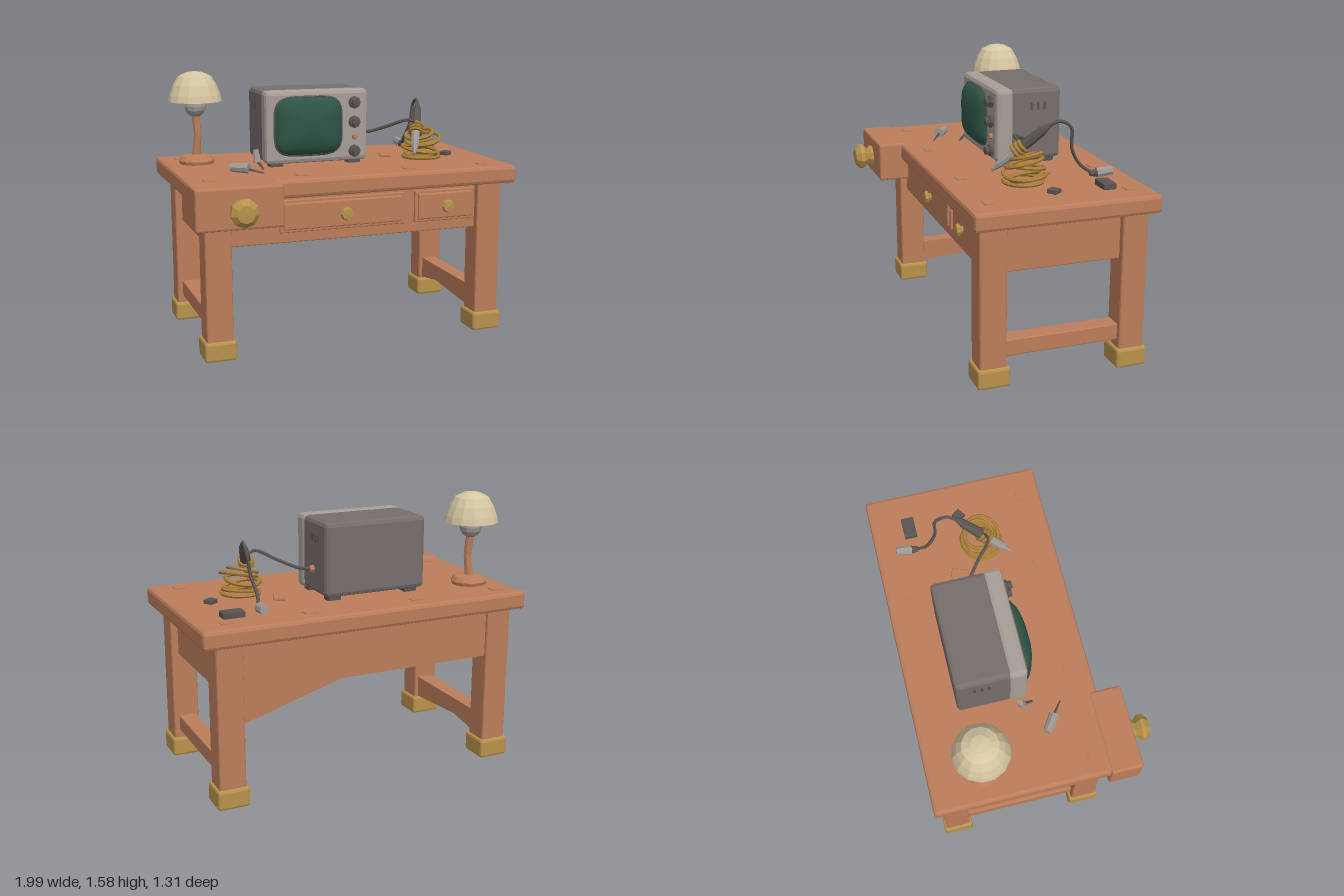
import * as THREE from 'three';
import { RoundedBoxGeometry } from 'three/addons/geometries/RoundedBoxGeometry.js';

export function createModel() {
  const root = new THREE.Group();
  const mat = (name, color, extra = {}) => {
    const m = new THREE.MeshStandardMaterial({ color, flatShading: true, ...extra });
    m.name = name;
    return m;
  };
  const wood = mat('wood', 0xbc7d5b);
  const brass = mat('brass', 0xb8924c);
  const rope = mat('rope', 0xa87d38);
  const casing = mat('casing grey', 0x776e6c);
  const bezelGrey = mat('bezel grey', 0xa89e97);
  const glass = mat('screen green', 0x2e5546, { flatShading: false });
  const cream = mat('lampshade cream', 0xd6c6a2);
  const metal = mat('metal grey', 0x9c9794);
  const dark = mat('dark grey', 0x595452);

  const V = (x, y, z) => new THREE.Vector3(x, y, z);
  const add = (name, geo, m, x = 0, y = 0, z = 0) => {
    const mesh = new THREE.Mesh(geo, m);
    mesh.name = name;
    mesh.position.set(x, y, z);
    root.add(mesh);
    return mesh;
  };
  // bevelled box given by its extents on each axis
  const box = (name, m, [x0, x1], [y0, y1], [z0, z1], r = 0.012) => add(name,
    new RoundedBoxGeometry(x1 - x0, y1 - y0, z1 - z0, 1, r), m,
    (x0 + x1) / 2, (y0 + y1) / 2, (z0 + z1) / 2);
  // tapered rod between two points
  const rod = (name, m, a, b, ra, rb = ra, sides = 8) => {
    const d = b.clone().sub(a);
    const mesh = add(name, new THREE.CylinderGeometry(rb, ra, d.length(), sides), m);
    mesh.position.copy(a).addScaledVector(d, 0.5);
    mesh.quaternion.setFromUnitVectors(V(0, 1, 0), d.normalize());
    return mesh;
  };
  const tube = (name, m, pts, r) => add(name,
    new THREE.TubeGeometry(new THREE.CatmullRomCurve3(pts.map(p => V(...p))), 28, r, 6), m);
  // turned knob whose axis points to the front
  const turned = (name, m, profile, sides, x, y, z) => {
    const geo = new THREE.LatheGeometry(profile.map(p => new THREE.Vector2(...p)), sides);
    return add(name, geo.rotateX(Math.PI / 2), m, x, y, z);
  };
  const plate = (pts, depth) => new THREE.ExtrudeGeometry(
    new THREE.Shape(pts.map(p => new THREE.Vector2(...p))), { depth, bevelEnabled: false });

  // desk top, clamp block and peg marks
  box('deskTop', wood, [-0.99, 0.99], [0.92, 1.025], [-0.655, 0.405], 0.02);
  box('clampBlock', wood, [-1, -0.51], [0.795, 1.03], [0.36, 0.545], 0.012);
  for (const x of [-0.86, -0.32, 0.34, 0.82])
    for (const z of [-0.53, 0.28])
      add('joineryPeg', new THREE.BoxGeometry(0.07, 0.006, 0.05), wood, x, 1.026, z);
  turned('clampKnob', brass, [[0, 0], [0.065, 0], [0.065, 0.02], [0.05, 0.035], [0.08, 0.065],
    [0.08, 0.085], [0.05, 0.115], [0, 0.118]], 9, -0.75, 0.903, 0.54);

  // legs with brass feet
  for (const x of [-0.835, 0.835])
    for (const [z0, z1] of [[0.2, 0.355], [-0.615, -0.465]]) {
      box('leg', wood, [x - 0.077, x + 0.077], [0.08, 0.94], [z0, z1]);
      box('foot', brass, [x - 0.092, x + 0.092], [0, 0.115], [z0 - 0.015, z1 + 0.015], 0.015);
    }

  // side stretchers, arched on the inner half
  const arch = plate([[-0.21, 0.12], [0.25, 0.155], [0.475, 0.12], [0.475, 0.255], [-0.21, 0.255]], 0.04);
  arch.rotateY(Math.PI / 2);
  for (const s of [-1, 1]) {
    box('stretcher', wood, [s * 0.84 - 0.04, s * 0.84 + 0.04], [0.16, 0.255], [-0.48, 0.22], 0.006);
    add('stretcherArch', arch, wood, s * 0.8 - 0.02, 0, 0);
  }

  // apron body with a sloping rear board
  box('apron', wood, [-0.87, 0.87], [0.645, 0.93], [-0.58, 0.31], 0.006);
  add('rearApron', plate([[-0.8, 0.645], [0.18, 0.645], [0.8, 0.458], [0.8, 0.92], [-0.8, 0.92]], 0.04),
    wood, 0, 0, -0.595);

  // drawers
  for (const [x0, x1, kx] of [[-0.47, 0.295, -0.08], [0.36, 0.755, 0.56]]) {
    box('drawerFrame', wood, [x0, x1], [0.705, 0.895], [0.29, 0.325], 0.006);
    box('drawerFront', wood, [x0 + 0.02, x1 - 0.02], [0.722, 0.878], [0.31, 0.338], 0.008);
    turned('drawerKnob', brass, [[0, 0], [0.025, 0], [0.022, 0.012], [0.04, 0.024], [0.034, 0.04],
      [0, 0.044]], 8, kx, 0.798, 0.335);
  }

  // monitor casing
  box('monitorBody', casing, [-0.452, 0.178], [1.05, 1.475], [-0.395, -0.07], 0.025);
  box('monitorBezel', bezelGrey, [-0.457, 0.183], [1.045, 1.477], [-0.1, 0.008], 0.025);
  for (const x of [-0.38, 0.11])
    for (const z of [-0.33, -0.06])
      add('monitorFoot', new THREE.BoxGeometry(0.08, 0.04, 0.06), dark, x, 1.04, z);
  for (const z of [-0.21, -0.25, -0.29]) {
    add('vent', new THREE.BoxGeometry(0.006, 0.045, 0.016), dark, 0.178, 1.37, z);
    add('vent', new THREE.BoxGeometry(0.006, 0.045, 0.016), dark, -0.452, 1.37, z);
  }

  // bulging screen: a hemisphere squared off into a rounded rectangle
  const dome = new THREE.SphereGeometry(1, 40, 12, 0, Math.PI * 2, 0, Math.PI / 2).rotateX(Math.PI / 2);
  const p = dome.attributes.position;
  const square = v => Math.sign(v) * Math.pow(Math.abs(v), 0.45);
  for (let i = 0; i < p.count; i++) {
    const x = p.getX(i), y = p.getY(i), r = Math.hypot(x, y) || 1;
    p.setXYZ(i, square(x / r) * r * 0.208, square(y / r) * r * 0.172, p.getZ(i) * 0.075);
  }
  dome.computeVertexNormals();
  add('screen', dome, glass, -0.195, 1.267, 0.004);
  const rim = [];
  for (let i = 0; i < 40; i++) {
    const a = i / 40 * Math.PI * 2;
    rim.push(V(square(Math.cos(a)) * 0.208, square(Math.sin(a)) * 0.172, 0));
  }
  add('screenRim', new THREE.TubeGeometry(new THREE.CatmullRomCurve3(rim, true), 60, 0.008, 5, true),
    dark, -0.195, 1.267, 0.008);

  // control knobs and side socket
  for (const y of [1.397, 1.28, 1.105])
    turned('controlKnob', dark, [[0, 0], [0.038, 0], [0.036, 0.018], [0.026, 0.022], [0.024, 0.045],
      [0, 0.047]], 8, 0.095, y, 0.006);
  turned('smallKnob', wood, [[0, 0], [0.018, 0], [0.015, 0.02], [0, 0.022]], 6, 0.098, 1.19, 0.006);
  rod('cableSocket', wood, V(0.175, 1.185, -0.215), V(0.2, 1.185, -0.215), 0.026, 0.018, 6);

  // lamp
  const lathe = (name, m, pts, sides, y = 0) => add(name,
    new THREE.LatheGeometry(pts.map(q => new THREE.Vector2(...q)), sides), m, -0.797, y, -0.335);
  lathe('lampBase', wood, [[0, 1.02], [0.1, 1.02], [0.108, 1.045], [0.09, 1.072], [0.04, 1.08], [0, 1.08]], 14);
  rod('lampStemLower', wood, V(-0.8, 1.06, -0.335), V(-0.788, 1.2, -0.325), 0.026, 0.022);
  rod('lampStemUpper', wood, V(-0.788, 1.19, -0.325), V(-0.797, 1.34, -0.335), 0.022, 0.024);
  add('lampBulb', new THREE.SphereGeometry(0.066, 10, 8), metal, -0.797, 1.372, -0.335);
  lathe('lampShade', cream, [[0, 1.415], [0.145, 1.41], [0.16, 1.402], [0.152, 1.44], [0.13, 1.5],
    [0.1, 1.55], [0.05, 1.575], [0, 1.582]], 14);

  // coil of rope
  [[0.112, 1.045, 0, 0], [0.1, 1.065, 0.12, 0.1], [0.11, 1.09, 0.1, -0.14], [0.098, 1.12, -0.12, 0.12],
    [0.105, 1.15, 0.2, 0.2], [0.085, 1.18, 0.15, 0.25]].forEach(([r, y, tx, tz], i) => {
    const ring = add('ropeCoil', new THREE.TorusGeometry(r, 0.011, 6, 22).rotateX(Math.PI / 2), rope,
      0.55 + 0.012 * Math.sin(i * 2), y, -0.03 + 0.012 * Math.cos(i * 3));
    ring.rotation.set(tx, 0, tz);
  });

  // probe leaning over the coil, tied with rope
  const tip = V(0.44, 1.085, 0.13), top = V(0.585, 1.355, -0.16);
  const at = t => tip.clone().lerp(top, t);
  rod('probeTip', metal, tip, at(0.15), 0.008, 0.022);
  rod('probeHandle', metal, at(0.15), at(0.5), 0.024, 0.028);
  rod('probeGrip', dark, at(0.45), at(0.88), 0.034, 0.026);
  rod('probeCap', dark, at(0.88), top, 0.024, 0.012);
  for (const t of [0.42, 0.48, 0.54]) {
    const wrap = add('probeBinding', new THREE.TorusGeometry(0.036, 0.011, 6, 12), rope);
    wrap.position.copy(at(t));
    wrap.quaternion.setFromUnitVectors(V(0, 0, 1), top.clone().sub(tip).normalize());
  }

  // cables and plug
  tube('monitorCable', dark, [[0.19, 1.185, -0.215], [0.25, 1.19, -0.17], [0.35, 1.23, -0.09],
    [0.45, 1.275, 0], [0.52, 1.25, -0.02]], 0.01);
  tube('probeCable', dark, [[0.583, 1.35, -0.155], [0.6, 1.375, -0.21], [0.605, 1.34, -0.275],
    [0.59, 1.21, -0.29], [0.575, 1.11, -0.35], [0.595, 1.06, -0.42]], 0.01);
  rod('plugCollar', dark, V(0.593, 1.06, -0.4), V(0.597, 1.062, -0.44), 0.016, 0.024);
  rod('plug', metal, V(0.597, 1.062, -0.44), V(0.605, 1.07, -0.53), 0.03, 0.026);

  // loose parts on the desk
  const loose = (name, m, x, z, w, h, d, turn) => {
    add(name, new RoundedBoxGeometry(w, h, d, 1, 0.004), m, x, 1.024 + h / 2, z).rotation.y = turn;
  };
  loose('smallBox', dark, 0.75, -0.425, 0.125, 0.035, 0.075, 0);
  loose('chip', dark, 0.765, -0.115, 0.06, 0.025, 0.055, 0.6);
  loose('woodTag', wood, 0.38, -0.195, 0.07, 0.02, 0.1, -0.35);
  rod('looseValve', metal, V(-0.685, 1.056, 0.065), V(-0.595, 1.056, 0.13), 0.024, 0.03);
  rod('looseValvePin', dark, V(-0.595, 1.05, 0.13), V(-0.52, 1.032, 0.185), 0.008, 0.004, 5);
  rod('standingValve', metal, V(-0.5, 1.06, -0.03), V(-0.505, 1.135, -0.045), 0.024, 0.016);
  rod('standingValvePin', dark, V(-0.48, 1.025, 0.03), V(-0.5, 1.07, -0.03), 0.006, 0.012, 5);

  return root;
}
